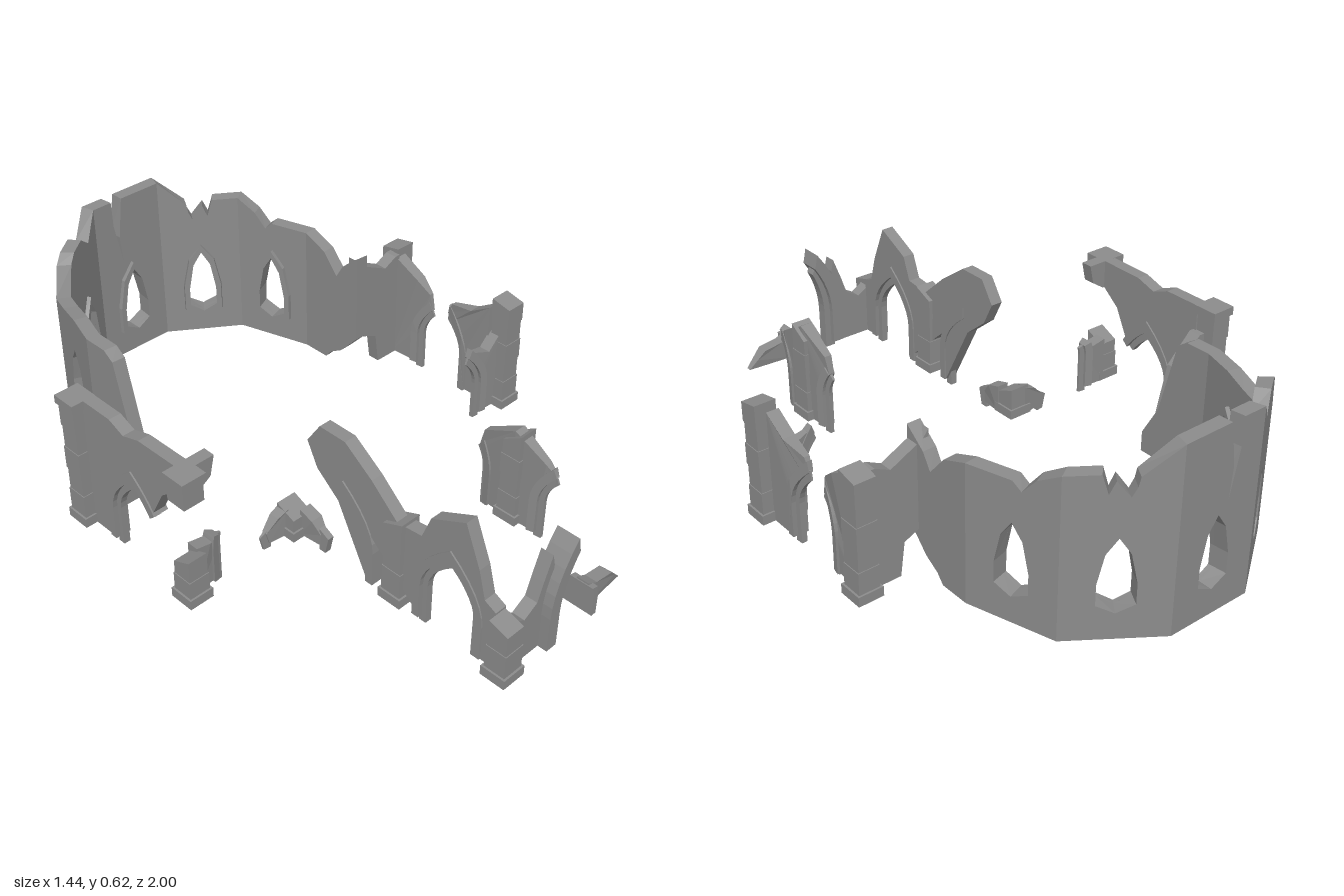
import * as THREE from 'three';

const material = new THREE.MeshStandardMaterial({ color: 0x8c8c8c, flatShading: true, side: THREE.DoubleSide });
const BASE = 0.02;
const shapeOf = (pts) => new THREE.Shape(pts.map(([x, y]) => new THREE.Vector2(x, y)));

function add(group, name, geometry) {
  const mesh = new THREE.Mesh(geometry, material);
  mesh.name = name;
  group.add(mesh);
  return mesh;
}

// Upright slab: outline in (along, y), running along x or z, centred on the line `at`.
// taper = [from, tip] thins the slab towards a broken tip.
function slab(group, name, axis, at, thick, pts, taper) {
  const g = new THREE.ExtrudeGeometry(shapeOf(pts), { depth: thick, bevelEnabled: false });
  g.translate(0, 0, -thick / 2);
  if (taper) {
    const p = g.attributes.position;
    for (let i = 0; i < p.count; i++) {
      const k = THREE.MathUtils.clamp((p.getX(i) - taper[0]) / (taper[1] - taper[0]), 0, 1);
      p.setZ(i, p.getZ(i) * (1 - 0.75 * k));
    }
    g.computeVertexNormals();
  }
  if (axis === 'z') g.rotateY(-Math.PI / 2).translate(at, 0, 0);
  else g.translate(0, 0, at);
  return add(group, name, g);
}

// Half of a pointed arch, from foot (t = 0) to apex (t = 1); side is -1 or 1
function arc(c, side, w, h, t0 = 0, t1 = 1, foot = BASE) {
  const pts = t0 === 0 ? [[c + side * w, foot]] : [];
  for (let i = 0; i <= 6; i++) {
    const t = t0 + (t1 - t0) * i / 6;
    pts.push([c + side * w * (1 - t * t), 0.14 + (h - 0.14) * t]);
  }
  return pts;
}
const under = (c, side, t0, t1) => arc(c, side, 0.1, 0.3, t0, t1);

// Stepped arch moulding: wide outer band and a thin inner rib that reaches the ground
function moulding(group, axis, at, c, side, t0 = 0, t1 = 1, taper) {
  const band = (name, thick, w0, h0, w1, h1, foot) => slab(group, name, axis, at, thick,
    [...arc(c, side, w0, h0, t0, t1, foot), ...arc(c, side, w1, h1, t0, t1, foot).reverse()], taper);
  band('archBand', 0.052, 0.1, 0.295, 0.125, 0.335, BASE);
  band('archRib', 0.022, 0.083, 0.265, 0.108, 0.3, 0);
}

// Square pier of stacked blocks with plinth and optional cap
function pier(group, name, x, z, y0, y1, { plinth = true, cap = true, tilt = 0 } = {}) {
  const p = new THREE.Group();
  p.name = name;
  group.add(p);
  const block = (part, w, a, b, slope = 0) => {
    const g = new THREE.BoxGeometry(w, b - a, w).translate(x, (a + b) / 2, z);
    const pos = g.attributes.position;
    for (let i = 0; i < pos.count; i++)
      if (pos.getY(i) > (a + b) / 2) pos.setY(i, pos.getY(i) + slope * (pos.getZ(i) - z) / w);
    g.computeVertexNormals();
    add(p, part, g);
  };
  const s0 = plinth ? y0 + 0.032 : y0, s1 = cap ? y1 - 0.028 : y1;
  if (plinth) block('plinth', 0.084, y0, s0);
  if (cap) block('cap', 0.084, s1, y1);
  const n = Math.max(1, Math.round((s1 - s0) / 0.075));
  const h = (s1 - s0) / n;
  for (let i = 0; i < n; i++)
    block('shaftBlock', i % 2 ? 0.066 : 0.071, s0 + i * h, s0 + (i + 1) * h, i === n - 1 ? tilt : 0);
}

// Polygonal apse: outer and inner plan corners, broken top per side
const OUT = [[-0.48, -0.3], [-0.48, -0.55], [-0.395, -0.825], [-0.145, -1]];
const INN = [[-0.435, -0.3], [-0.435, -0.545], [-0.355, -0.8], [-0.132, -0.955]];
const mirrored = (a) => [...a, ...a.map(([x, z]) => [-x, z]).reverse()];
const TOPS = [
  [[0, 0.09], [0.25, 0.2], [0.5, 0.45], [0.65, 0.475], [1, 0.475]],
  [[0, 0.475], [0.4, 0.475], [0.75, 0.46], [1, 0.455]],
  [[0, 0.455], [0.12, 0.555], [0.25, 0.58], [0.5, 0.585], [0.72, 0.54], [1, 0.62]],
  [[0, 0.62], [0.27, 0.62], [0.28, 0.53], [0.385, 0.38], [0.357, 0.48], [0.43, 0.62], [1, 0.62]],
  [[0, 0.62], [0.35, 0.53], [0.37, 0.5], [0.42, 0.47], [0.55, 0.52], [0.61, 0.48], [0.67, 0.54], [1, 0.54]],
  [[0, 0.54], [0.25, 0.5], [0.4, 0.45], [0.5, 0.475], [1, 0.475]],
  [[0, 0.475], [0.36, 0.44], [0.6, 0.37], [0.72, 0.42], [1, 0.475]],
];
const WINDOW = [[-0.054, 0.132], [0, 0.105], [0.054, 0.132], [0.054, 0.2], [0.034, 0.295], [0, 0.345], [-0.034, 0.295], [-0.054, 0.2]];
const FRAME = [[-0.075, 0.112], [0, 0.08], [0.075, 0.112], [0.075, 0.21], [0.05, 0.315], [0, 0.372], [-0.05, 0.315], [-0.075, 0.21]];

function apse(group) {
  const outer = mirrored(OUT), inner = mirrored(INN);
  TOPS.forEach((top, i) => {
    const [o0, o1, i0, i1] = [outer[i], outer[i + 1], inner[i], inner[i + 1]];
    const length = Math.hypot(o1[0] - o0[0], o1[1] - o0[1]);
    const unit = (pts) => pts.map(([x, y]) => [0.5 + x / length, y]);
    // Bend an extrusion so that u runs along the side and depth from outer to inner face
    const place = (name, shape, d0, d1) => {
      const g = new THREE.ExtrudeGeometry(shape, { depth: 1, bevelEnabled: false });
      const p = g.attributes.position;
      for (let k = 0; k < p.count; k++) {
        const u = p.getX(k), d = d0 + (d1 - d0) * p.getZ(k);
        const [x, z] = [0, 1].map((a) => (o0[a] + (o1[a] - o0[a]) * u) * (1 - d) + (i0[a] + (i1[a] - i0[a]) * u) * d);
        p.setXYZ(k, x, p.getY(k), z);
      }
      g.computeVertexNormals();
      add(group, name, g);
    };
    const foot = i === 6 ? [[0, BASE], [0.4, BASE], [0.5, 0.05], [0.7, 0.08], [1, 0.16]] : [[0, BASE], [1, BASE]];
    const wall = shapeOf([...foot, ...[...top].reverse()]);
    if (i > 0 && i < 6) {
      wall.holes.push(shapeOf(unit(WINDOW)));
      const frame = shapeOf(unit(FRAME));
      frame.holes.push(shapeOf(unit(WINDOW)));
      place('windowFrame', frame, 0.95, 1.3);
    }
    place('apseWall', wall, 0, 1);
  });
}

function transept(group) {
  pier(group, 'backLeftPier', -0.677, -0.342, BASE, 0.475);
  pier(group, 'backRightPier', 0.675, -0.342, BASE, 0.42, { cap: false, tilt: 0.015 });
  pier(group, 'frontRightPier', 0.675, 0.147, BASE, 0.415, { cap: false, tilt: -0.015 });
  pier(group, 'brokenPierFoot', -0.677, 0.147, BASE, 0.17, { cap: false, tilt: 0.03 });
  pier(group, 'brokenPierTop', -0.677, 0.147, 0.38, 0.475, { plinth: false });

  // End walls beside the apse
  slab(group, 'endWall', 'x', -0.322, 0.043, [[-0.64, BASE], [-0.44, BASE], [-0.44, 0.09], [-0.48, 0.1], [-0.53, 0.3], [-0.62, 0.39], [-0.64, 0.39]]);
  slab(group, 'endWall', 'x', -0.322, 0.043, [[0.44, 0.17], [0.53, 0.13], [0.545, BASE], [0.64, BASE], [0.64, 0.41], [0.62, 0.41], [0.57, 0.385], [0.5, 0.42], [0.46, 0.44], [0.44, 0.465]]);

  // Side wall still spanning its arch
  const c = -0.1;
  slab(group, 'sideWall', 'z', -0.657, 0.042, [[-0.31, BASE], ...under(c, -1, 0, 1), ...under(c, 1, 0.45, 1).reverse(),
    [0.04, 0.33], [0.11, 0.385], [0.11, 0.475], [-0.05, 0.472], [-0.12, 0.45], [-0.18, 0.475], [-0.31, 0.475]]);
  moulding(group, 'z', -0.657, c, -1);
  moulding(group, 'z', -0.657, c, 1, 0.45, 1);

  // Opposite side wall, only the arch springers left
  const backTip = [-0.22, -0.15], frontTip = [0, -0.08];
  slab(group, 'sideWallStub', 'z', 0.653, 0.042, [[-0.31, BASE], ...under(c, -1, 0, 0.72), [-0.16, 0.31], [-0.21, 0.35], [-0.31, 0.4]], backTip);
  moulding(group, 'z', 0.653, c, -1, 0, 0.72, backTip);
  slab(group, 'sideWallStub', 'z', 0.653, 0.042, [[0.11, BASE], ...under(c, 1, 0, 0.88), [-0.06, 0.32], [0.03, 0.34], [0.11, 0.39]], frontTip);
  moulding(group, 'z', 0.653, c, 1, 0, 0.88, frontTip);

  // Broken arches facing the nave
  const leftTip = [-0.6, -0.54], rightTip = [0.6, 0.5], lowTip = [-0.33, -0.4];
  slab(group, 'archStub', 'x', 0.125, 0.04, [[-0.65, BASE], ...under(-0.47, -1, 0, 0.15), [-0.6, 0.17], [-0.65, 0.18]], leftTip);
  moulding(group, 'x', 0.125, -0.47, -1, 0, 0.25, leftTip);
  slab(group, 'archStubTop', 'x', 0.125, 0.04, [[-0.65, 0.38], [-0.63, 0.38], [-0.585, 0.41], [-0.57, 0.475], [-0.65, 0.475]]);
  slab(group, 'archStub', 'x', 0.125, 0.04, [[0.65, BASE], ...under(0.47, 1, 0, 0.72), [0.54, 0.27], [0.6, 0.25], [0.65, 0.3]], rightTip);
  moulding(group, 'x', 0.125, 0.47, 1, 0, 0.75, rightTip);
  slab(group, 'archStub', 'x', 0.125, 0.04, [[-0.3, BASE], [-0.37, BASE], [-0.38, 0.06], [-0.34, 0.1], [-0.3, 0.115]], lowTip);
  slab(group, 'archRib', 'x', 0.125, 0.022, [[-0.362, 0], [-0.387, 0], [-0.4, 0.05], [-0.362, 0.075]], lowTip);
}

function nave(group) {
  pier(group, 'crossingPier', -0.275, 0.143, BASE, 0.11, { cap: false, tilt: -0.03 });
  pier(group, 'navePier', -0.255, 0.555, BASE, 0.31, { cap: false, tilt: 0.03 });
  pier(group, 'frontPier', -0.275, 0.957, BASE, 0.21, { cap: false, tilt: -0.02 });
  pier(group, 'lonePier', 0.25, 0.555, BASE, 0.33, { cap: false, tilt: 0.04 });

  // Arcade wall: a complete arch and a half arch reaching out over a gap
  const [c1, c2] = [0.755, 0.35];
  slab(group, 'arcadeWall', 'z', -0.255, 0.042, [...under(c2, 1, 0, 1).reverse(), [0.33, 0.25], [0.245, 0.32],
    [0.205, 0.4], [0.255, 0.475], [0.355, 0.475], [0.46, 0.4], [0.56, 0.31], [0.65, 0.32], [0.68, 0.4], [0.8, 0.46], [0.855, 0.33],
    [0.88, 0.24], [0.92, 0.22], [0.92, BASE], ...under(c1, 1, 0, 1), ...under(c1, -1, 0, 1).reverse()]);
  moulding(group, 'z', -0.255, c1, -1);
  moulding(group, 'z', -0.255, c1, 1);
  moulding(group, 'z', -0.255, c2, 1);
  slab(group, 'arcadeStub', 'z', -0.255, 0.042, [[0.17, BASE], [0.25, BASE], [0.25, 0.06], [0.22, 0.1], [0.17, 0.115]], [0.22, 0.28]);
  slab(group, 'archRib', 'z', -0.255, 0.022, [[0.242, 0], [0.267, 0], [0.28, 0.06], [0.242, 0.08]]);

  // Lone pier with a springer on each side
  for (const [c, s, t] of [[c1, -1, 0.72], [c2, 1, 0.55]]) {
    const tip = [c + s * 0.125, c + s * 0.05];
    slab(group, 'arcadeStub', 'z', 0.25, 0.042, [[0.555, BASE], ...under(c, s, 0, t), [c + s * 0.085, 0.285], [0.555, 0.35]], tip);
    moulding(group, 'z', 0.25, c, s, 0, t, tip);
  }

  // Front wall with half of the doorway arch, and the remains of the other jamb
  slab(group, 'frontWall', 'x', 0.938, 0.042, [[-0.25, BASE], [-0.09, BASE], [-0.09, 0.3], [-0.1, 0.34], [-0.13, 0.26], [-0.15, 0.2], [-0.2, 0.17], [-0.25, 0.2]]);
  slab(group, 'doorArch', 'x', 0.953, 0.075, [...arc(0, -1, 0.085, 0.36, 0, 0.85), ...arc(0, -1, 0.125, 0.42, 0, 0.85).reverse()]);
  slab(group, 'doorRib', 'x', 0.95, 0.035, [...arc(0, -1, 0.062, 0.34, 0, 0.8, 0), ...arc(0, -1, 0.1, 0.38, 0, 0.8, 0).reverse()]);
  slab(group, 'frontWallStub', 'x', 0.938, 0.042, [[0.09, BASE], [0.26, BASE], [0.23, 0.05], [0.2, 0.08], [0.13, 0.09], [0.09, 0.11]], [0.2, 0.28]);
  slab(group, 'doorJamb', 'x', 0.937, 0.11, [[0.073, BASE], [0.092, BASE], [0.092, 0.1], [0.073, 0.115]]);
  slab(group, 'doorJamb', 'x', 0.937, 0.08, [[0.073, BASE], [0.11, BASE], [0.11, 0.1], [0.073, 0.108]]);
}

export function createModel() {
  const model = new THREE.Group();
  model.name = 'ruinedChapel';
  for (const [name, build] of Object.entries({ apse, transept, nave })) {
    const part = new THREE.Group();
    part.name = name;
    build(part);
    model.add(part);
  }
  return model;
}
